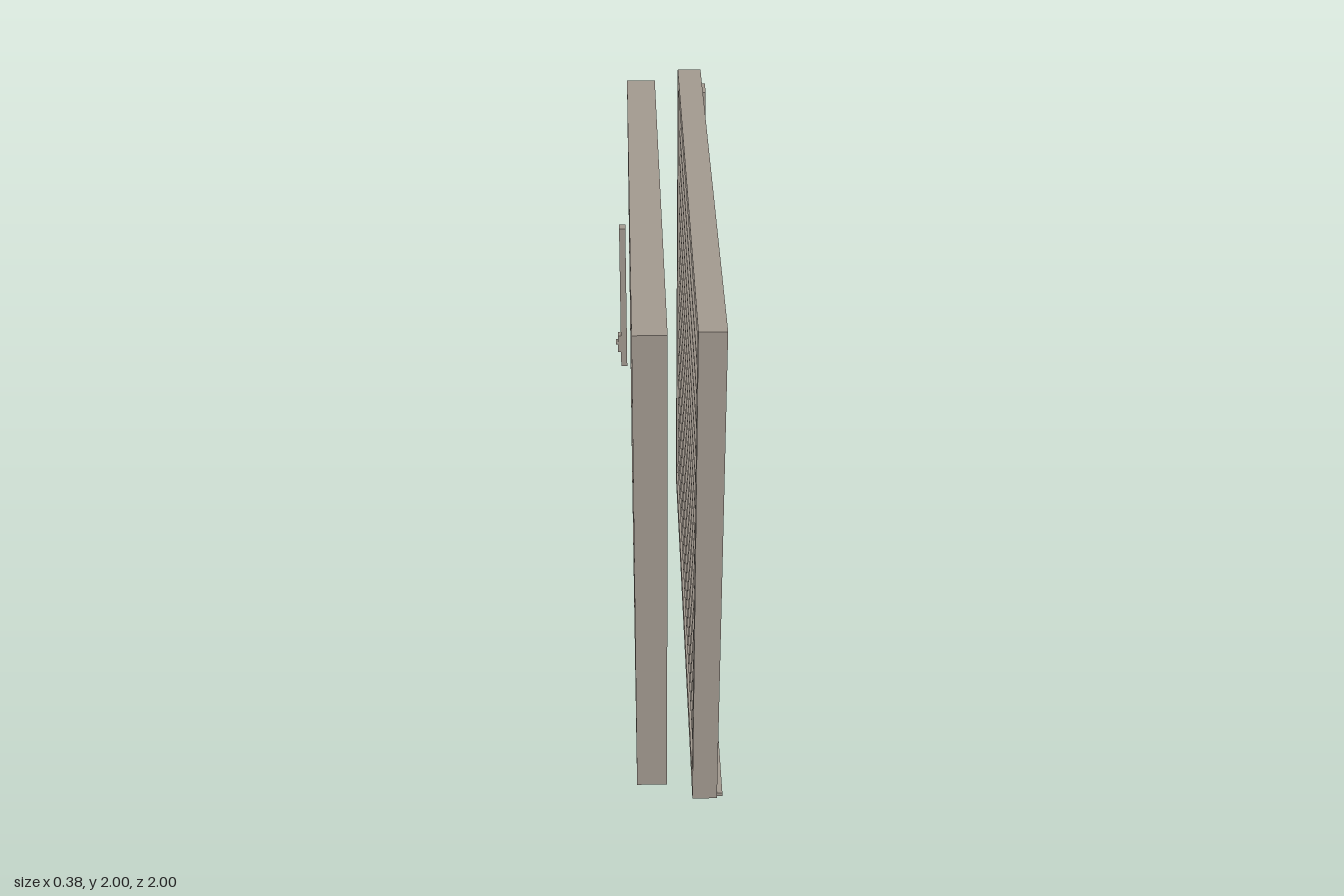
import * as THREE from 'three';

export function createModel() {
  const model = new THREE.Group();
  const frameMat = new THREE.MeshStandardMaterial({ color: 0xa1988e });
  frameMat.name = 'warm grey frame';
  const glassMat = new THREE.MeshStandardMaterial({ color: 0xb4c0c3 });
  glassMat.name = 'pale glass';

  // Box given by its limits on each axis
  function box(parent, name, [x0, x1], [y0, y1], [z0, z1], mat = frameMat) {
    const mesh = new THREE.Mesh(new THREE.BoxGeometry(x1 - x0, y1 - y0, z1 - z0), mat);
    mesh.position.set((x0 + x1) / 2, (y0 + y1) / 2, (z0 + z1) / 2);
    mesh.name = name;
    parent.add(mesh);
    return mesh;
  }

  // Sliding glass panel
  const panel = new THREE.Group();
  panel.name = 'glassPanel';
  model.add(panel);
  const px = [-0.127, -0.017];
  box(panel, 'panelTopRail', px, [1.905, 1.97], [-0.967, 0.967]);
  box(panel, 'panelBottomRail', px, [0.042, 0.107], [-0.967, 0.967]);
  box(panel, 'panelBackStile', px, [0.107, 1.905], [-0.967, -0.9]);
  box(panel, 'panelFrontStile', px, [0.107, 1.905], [0.9, 0.967]);
  box(panel, 'mullion', [-0.1, -0.044], [0.107, 1.905], [-0.021, 0.021]);
  for (const [z0, z1] of [[-0.9, -0.021], [0.021, 0.9]])
    box(panel, 'glassPane', [-0.077, -0.067], [0.107, 1.905], [z0, z1], glassMat);

  // Pull handle with latch and pin
  const handle = new THREE.Group();
  handle.name = 'handle';
  model.add(handle);
  box(handle, 'handleBar', [-0.168, -0.142], [0.67, 1.34], [-0.948, -0.906]);
  box(handle, 'latch', [-0.181, -0.168], [0.74, 0.82], [-0.944, -0.91]);
  const pin = new THREE.Mesh(new THREE.CylinderGeometry(0.012, 0.012, 0.01, 16), frameMat);
  pin.rotation.z = Math.PI / 2;
  pin.position.set(-0.185, 0.78, -0.927);
  pin.name = 'latchPin';
  handle.add(pin);

  // Shutter frame
  const shutter = new THREE.Group();
  shutter.name = 'shutter';
  model.add(shutter);
  const sx = [0.075, 0.165];
  box(shutter, 'shutterTopRail', sx, [1.94, 2], [-1, 1]);
  box(shutter, 'shutterBottomRail', sx, [0, 0.068], [-1, 1]);
  box(shutter, 'shutterFrontStile', sx, [0.068, 1.94], [0.94, 1]);
  box(shutter, 'shutterBackStile', sx, [0.068, 1.94], [-1, -0.94]);
  box(shutter, 'stileCover', [0.165, 0.183], [0.068, 1.94], [-1, -0.912]);
  box(shutter, 'sillStrip', [0.165, 0.185], [0.003, 0.02], [-0.993, 0.993]);

  // Rounded louvres on pivots
  const louvreGeo = new THREE.CylinderGeometry(1, 1, 1.83, 32).rotateX(Math.PI / 2).scale(0.041, 0.047, 1);
  louvreGeo.computeVertexNormals;
  const pivotGeo = new THREE.CylinderGeometry(0.007, 0.007, 1.88, 10).rotateX(Math.PI / 2);
  for (let i = 0; i < 16; i++) {
    const y = 0.128 + i * 0.117;
    for (const [name, geo] of [['louvre', louvreGeo], ['louvrePivot', pivotGeo]]) {
      const mesh = new THREE.Mesh(geo, frameMat);
      mesh.position.set(0.121, y, 0);
      mesh.name = name;
      shutter.add(mesh);
    }
  }
  return model;
}
